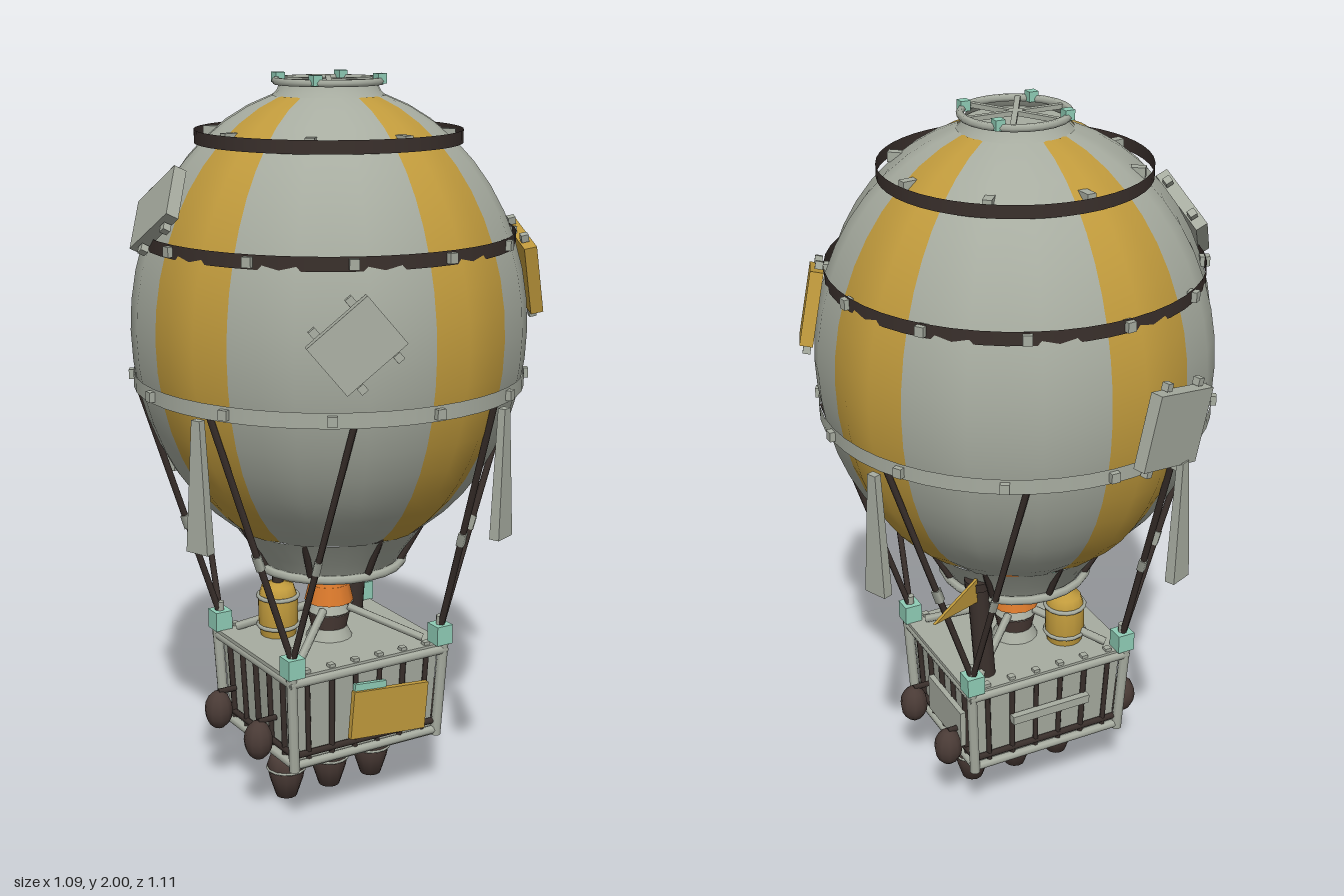
import * as THREE from 'three';

const paint = (name, color) => {
  const m = new THREE.MeshStandardMaterial({ color, side: THREE.DoubleSide });
  m.name = name;
  return m;
};

export function createModel() {
  const grey = paint('canvas grey', 0xa7aca0);
  const gold = paint('gold cloth', 0xc09a3c);
  const dark = paint('dark leather', 0x3a302c);
  const brown = paint('brown sack', 0x4a3b36);
  const orange = paint('flame orange', 0xdc7a2c);
  const mint = paint('mint fitting', 0x8fcdb6);

  const model = new THREE.Group();
  model.name = 'hotAirBalloon';
  model.position.x = -0.01;
  const V = (x, y, z) => new THREE.Vector3(x, y, z);
  const rad = THREE.MathUtils.degToRad;

  function add(name, geo, mat, x = 0, y = 0, z = 0, parent = model) {
    const m = new THREE.Mesh(geo, mat);
    m.name = name;
    m.position.set(x, y, z);
    parent.add(m);
    return m;
  }
  const box = (w, h, d) => new THREE.BoxGeometry(w, h, d);
  const cyl = (rt, rb, h, n = 12, open = false) => new THREE.CylinderGeometry(rt, rb, h, n, 1, open);
  const lathe = (pts, n) => new THREE.LatheGeometry(pts.map(p => new THREE.Vector2(p[0], p[1])), n);

  function rod(name, a, b, r, mat, sides = 6) {
    const m = add(name, cyl(r, r, a.distanceTo(b), sides), mat);
    m.position.copy(a).add(b).multiplyScalar(0.5);
    m.quaternion.setFromUnitVectors(V(0, 1, 0), b.clone().sub(a).normalize());
    return m;
  }
  // Box whose lower end is scaled in x and z
  function taperBox(w, h, d, sx, sz) {
    const g = box(w, h, d), p = g.attributes.position;
    for (let i = 0; i < p.count; i++) {
      if (p.getY(i) < 0) p.setXYZ(i, p.getX(i) * sx, p.getY(i), p.getZ(i) * sz);
    }
    g.computeVertexNormals();
    return g;
  }
  function ring(name, r, tube, y, mat, n = 24, x = 0, z = 0) {
    const m = add(name, new THREE.TorusGeometry(r, tube, 6, n), mat, x, y, z);
    m.rotation.x = Math.PI / 2;
    return m;
  }

  // Envelope: twelve puffed gores, every third one gold
  const midY = 1.35, R = 0.52;
  const half = y => (y > midY ? 0.62 : 0.63);
  const shellR = y => R * Math.sqrt(Math.max(0, 1 - ((y - midY) / half(y)) ** 2));
  const profile = [];
  const a0 = -Math.asin(0.54 / 0.63), a1 = Math.asin(0.595 / 0.62);
  for (let j = 0; j <= 18; j++) {
    const a = a0 + (a1 - a0) * j / 18;
    profile.push([R * Math.cos(a), midY + Math.sin(a) * (a > 0 ? 0.62 : 0.63)]);
  }
  const shell = lathe(profile, 36), sp = shell.attributes.position, rows = profile.length;
  for (let i = 0; i < sp.count; i++) {
    const k = Math.floor(i / rows) % 3 === 0 ? 0.977 : 1.01;
    sp.setXYZ(i, sp.getX(i) * k, sp.getY(i), sp.getZ(i) * k);
  }
  shell.computeVertexNormals();
  const perGore = 3 * (rows - 1) * 6;
  for (let g = 0; g < 12; g++) shell.addGroup(g * perGore, perGore, g % 3 === 0 ? 1 : 0);
  add('envelope', shell, [grey, gold]);

  // Neck with dark straps and mouth ring
  add('neck', lathe([[0.185, 0.69], [0.215, 0.74], [0.267, 0.81]], 36), grey);
  ring('mouthRing', 0.203, 0.012, 0.695, grey);
  for (let i = 0; i < 8; i++) {
    const a = i * Math.PI / 4, s = Math.sin(a), c = Math.cos(a);
    rod('neckStrap', V(s * 0.2, 0.7, c * 0.2), V(s * 0.27, 0.83, c * 0.27), 0.009, dark);
  }

  // Crown vent
  add('crownCollar', lathe([[0.155, 1.935], [0.135, 1.955], [0.125, 1.975]], 24), grey);
  add('crownLid', cyl(0.13, 0.13, 0.01, 24), grey, 0, 1.955);
  ring('crownRing', 0.137, 0.01, 1.98, grey);
  for (let i = 0; i < 3; i++) {
    add('crownSpoke', box(0.27, 0.012, 0.014), grey, 0, 1.98).rotation.y = i * Math.PI / 3;
  }
  for (const x of [-1, 1]) for (const z of [-1, 1]) {
    add('crownFitting', box(0.026, 0.026, 0.026), mint, x * 0.095, 1.987, z * 0.095);
  }

  // Girdling bands and their bolts
  add('upperBand', cyl(0.348, 0.348, 0.034, 48, true), dark, 0, 1.843);
  add('middleBand', cyl(0.489, 0.489, 0.036, 48, true), dark, 0, 1.585);
  add('equatorBand', cyl(0.52, 0.52, 0.04, 48, true), grey, 0, 1.213);
  function bolts(count, offset, r, y, depth) {
    for (let i = 0; i < count; i++) {
      const a = rad(offset + i * 360 / count);
      add('bandBolt', box(0.024, 0.026, depth), grey, Math.sin(a) * r, y, Math.cos(a) * r).rotation.y = a;
    }
  }
  bolts(8, 6, 0.308, 1.85, 0.04);
  bolts(12, 6, 0.489, 1.585, 0.026);
  bolts(12, 0, 0.525, 1.213, 0.018);

  // Repair plates lying on the envelope
  function patch(deg, y, w, h, spin, mat) {
    const g = new THREE.Group(), t = rad(deg), r = shellR(y);
    const lift = Math.atan2((y - midY) / half(y) ** 2, r / R ** 2);
    g.name = 'repairPlate';
    g.position.set(Math.sin(t) * (r + 0.015), y, Math.cos(t) * (r + 0.015));
    g.rotation.set(-lift, t, rad(spin), 'YXZ');
    add('plate', box(w, h, 0.034), mat, 0, 0, 0.004, g);
    for (const s of [-1, 1]) for (const u of [-1, 1]) {
      add('plateBolt', box(0.02, 0.02, 0.02), grey, s * w * 0.3, u * (h / 2 + 0.014), 0, g);
    }
    model.add(g);
  }
  patch(-24, 1.4, 0.19, 0.15, 40, grey);
  patch(67, 1.49, 0.21, 0.19, 14, gold);
  patch(199, 1.3, 0.21, 0.2, -12, grey);
  patch(261.5, 1.67, 0.19, 0.15, 38, grey);

  // Hanging fins
  for (let i = 0; i < 4; i++) {
    const a = rad(23 + i * 90);
    add('hangingFin', taperBox(0.026, 0.34, 0.02, 2.6, 1.4), grey,
      Math.sin(a) * 0.543, 1.025, Math.cos(a) * 0.543).rotation.y = a;
  }

  // Rigging, two ropes to each basket corner
  for (const sx of [-1, 1]) for (const sz of [-1, 1]) {
    for (const deg of [24, 66]) {
      const a = rad(deg);
      const top = V(sx * Math.sin(a) * 0.51, 1.2, sz * Math.cos(a) * 0.51);
      const foot = V(sx * 0.235, 0.5, sz * 0.205);
      rod('rope', top, foot, 0.009, dark);
      const knot = top.clone().lerp(foot, 0.58), dir = foot.clone().sub(top).normalize().multiplyScalar(0.02);
      rod('ropeClamp', knot.clone().sub(dir), knot.clone().add(dir), 0.014, grey, 4);
    }
    add('cornerFitting', box(0.05, 0.055, 0.05), mint, sx * 0.235, 0.488, sz * 0.205);
    add('cornerPin', cyl(0.012, 0.012, 0.03, 8), grey, sx * 0.235, 0.525, sz * 0.205);
    rod('cornerPost', V(sx * 0.228, 0.185, sz * 0.2), V(sx * 0.242, 0.47, sz * 0.212), 0.015, grey, 8);
  }

  // Basket
  add('basketBody', taperBox(0.46, 0.255, 0.4, 0.94, 0.94), grey, 0, 0.32);
  add('basketFloor', box(0.46, 0.02, 0.4), grey, 0, 0.195);
  add('basketDeck', box(0.5, 0.016, 0.43), grey, 0, 0.454);
  for (const s of [-1, 1]) {
    rod('topRail', V(-0.25, 0.442, s * 0.212), V(0.25, 0.442, s * 0.212), 0.014, grey, 8);
    rod('topRail', V(s * 0.24, 0.442, -0.22), V(s * 0.24, 0.442, 0.22), 0.014, grey, 8);
    rod('bottomRail', V(-0.235, 0.2, s * 0.2), V(0.235, 0.2, s * 0.2), 0.012, grey, 8);
    rod('bottomRail', V(s * 0.228, 0.2, -0.205), V(s * 0.228, 0.2, 0.205), 0.012, grey, 8);
    rod('lowerStrap', V(-0.225, 0.227, s * 0.198), V(0.225, 0.227, s * 0.198), 0.009, dark);
    rod('lowerStrap', V(s * 0.226, 0.227, -0.195), V(s * 0.226, 0.227, 0.195), 0.009, dark);
    for (let i = 0; i < 6; i++) {
      const x = -0.19 + i * 0.076;
      rod('slat', V(x, 0.435, s * 0.205), V(x * 0.95, 0.2, s * 0.196), 0.008, dark);
      add('railBolt', box(0.018, 0.012, 0.018), grey, x, 0.465, s * 0.2);
    }
    for (let i = 0; i < 5; i++) {
      const z = -0.15 + i * 0.075;
      rod('slat', V(s * 0.235, 0.435, z), V(s * 0.224, 0.2, z * 0.95), 0.008, dark);
    }
    // Side sacks
    for (const z of [0.095, -0.137]) {
      add('sideSack', new THREE.SphereGeometry(0.04, 10, 8), brown, s * 0.28, 0.247, z).scale.y = 1.4;
      rod('sackTie', V(s * 0.225, 0.3, z), V(s * 0.28, 0.3, z), 0.008, dark);
    }
  }

  // Plates on the basket walls
  add('frontPlate', box(0.24, 0.135, 0.016), gold, 0.058, 0.305, 0.22).rotation.z = rad(-5);
  add('frontLabel', box(0.1, 0.03, 0.012), mint, 0, 0.382, 0.214).rotation.z = rad(-5);
  add('sidePlate', box(0.016, 0.11, 0.21), grey, 0.245, 0.308, -0.058);
  add('backHandle', box(0.24, 0.025, 0.02), grey, 0, 0.335, -0.217);

  // Burner and flame
  add('burnerBase', cyl(0.05, 0.065, 0.03, 16), grey, 0, 0.477);
  add('burnerCan', cyl(0.06, 0.05, 0.045, 16), brown, 0, 0.515);
  add('burnerCollar', cyl(0.04, 0.06, 0.035, 16), grey, 0, 0.552);
  add('flameSkirt', cyl(0.056, 0.068, 0.05, 12), orange, 0, 0.593);
  add('flame', cyl(0.036, 0.056, 0.07, 12), orange, 0, 0.65);
  for (const sx of [-1, 1]) for (const sz of [-1, 1]) {
    rod('burnerStrut', V(sx * 0.04, 0.55, sz * 0.035), V(sx * 0.2, 0.47, sz * 0.17), 0.012, grey);
  }

  // Fuel barrel
  add('barrel', lathe([[0.05, 0.46], [0.056, 0.5], [0.056, 0.57], [0.045, 0.605], [0.001, 0.62]], 14),
    gold, -0.115, 0, -0.085);
  for (const y of [0.49, 0.575]) ring('barrelHoop', 0.056, 0.006, y, grey, 16, -0.115, -0.085);
  add('barrelCap', cyl(0.016, 0.016, 0.025, 8), dark, -0.115, 0.625, -0.085);

  // Chimney with pennant
  rod('chimney', V(0.165, 0.46, -0.14), V(0.178, 0.74, -0.125), 0.029, dark, 12);
  rod('chimneyLip', V(0.177, 0.735, -0.125), V(0.178, 0.76, -0.125), 0.036, dark, 12);
  const tri = new THREE.Shape([[0, -0.036], [0.2, 0], [0, 0.036]].map(p => new THREE.Vector2(...p)));
  const pennant = add('pennant', new THREE.ExtrudeGeometry(tri, { depth: 0.008, bevelEnabled: false }),
    gold, 0.19, 0.738, -0.15);
  pennant.rotation.y = Math.atan2(0.1, 0.17);

  // Ballast pots under the floor
  rod('ballastBar', V(-0.2, 0.168, 0), V(0.2, 0.168, 0), 0.016, grey, 8);
  for (const x of [-0.14, 0, 0.14]) {
    add('potNeck', cyl(0.032, 0.036, 0.035, 10), gold, x, 0.147, 0);
    add('ballastPot', lathe([[0.001, 0], [0.03, 0.008], [0.047, 0.06], [0.055, 0.1], [0.044, 0.132], [0.001, 0.142]], 12),
      brown, x);
    ring('potHoop', 0.054, 0.004, 0.093, grey, 14, x);
  }
  return model;
}
